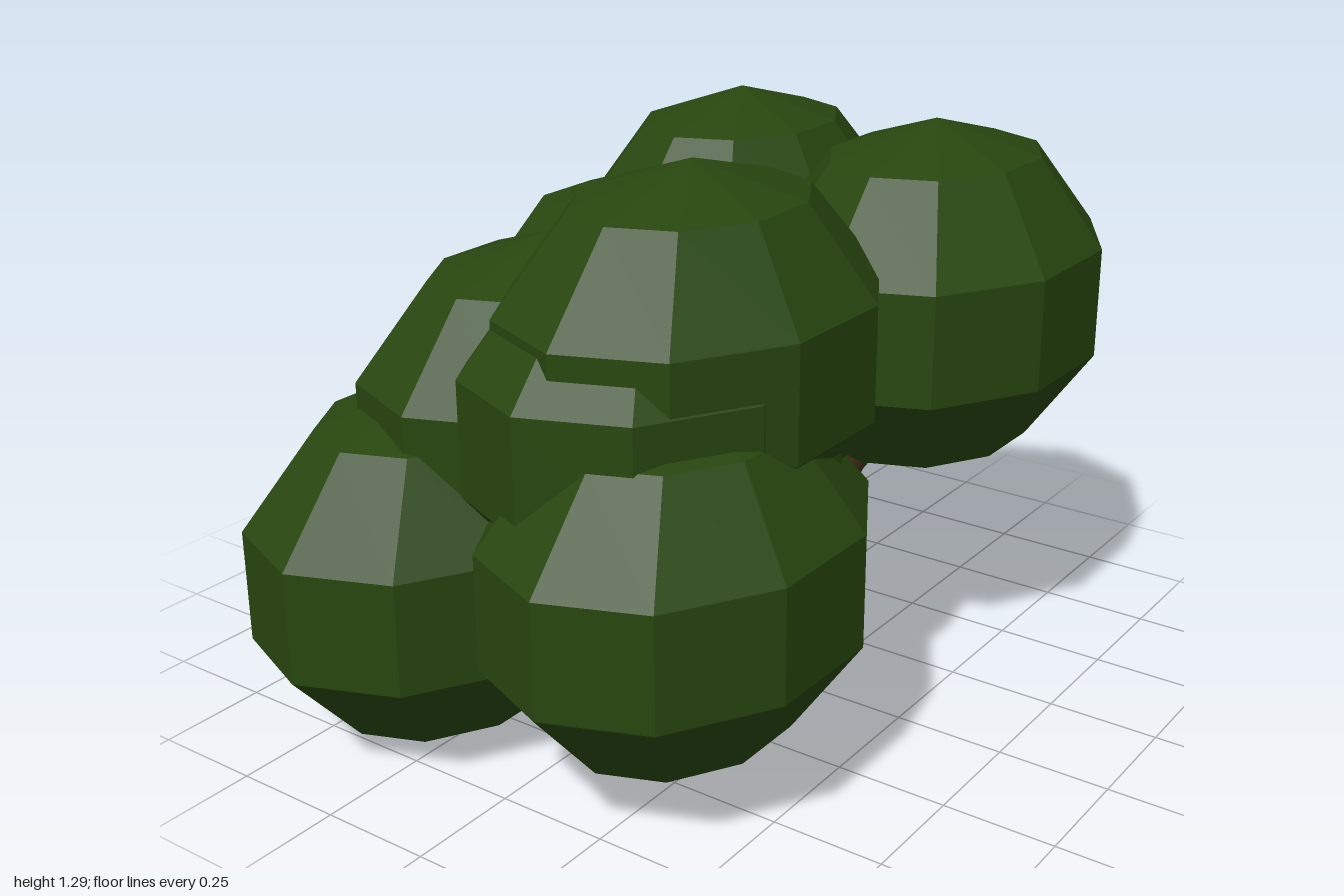
import * as THREE from 'three';

export function createModel() {
  const model = new THREE.Group();
  model.name = 'bush';

  const leafGreen = new THREE.MeshStandardMaterial({ color: 0x28460f, flatShading: true });
  leafGreen.name = 'leaf green';
  const barkBrown = new THREE.MeshStandardMaterial({ color: 0x3a2814 });
  barkBrown.name = 'bark brown';

  // One faceted foliage clump, wider than it is tall or deep
  const clump = new THREE.SphereGeometry(1, 10, 5).scale(0.478, 0.3975, 0.383);

  // Each clump centre, with the foot of the stem that carries it
  const parts = [
    { name: 'lowBackRight', centre: [-0.545, 0.4, -0.33], foot: [-0.07, 0.2, -0.15] },
    { name: 'lowFrontRight', centre: [-0.49, 0.49, 0.26], foot: [-0.07, 0.2, 0.05] },
    { name: 'highFrontRight', centre: [-0.31, 0.89, 0.165], foot: [0.02, 0.21, 0.03] },
    { name: 'highFrontLeft', centre: [0.372, 0.867, 0.33], foot: [0.3, 0.21, 0.1] },
    { name: 'highBackLeft', centre: [0.545, 0.835, -0.305], foot: [0.36, 0.21, -0.08] },
    { name: 'lowLeft', centre: [0.5, 0.587, -0.185], foot: [0.36, 0.21, -0.17] },
    { name: 'backMiddle', centre: [0.145, 0.705, -0.32], foot: [0.2, 0.21, -0.12] },
    { name: 'midBackRight', centre: [-0.31, 0.68, -0.215], foot: [0, 0.21, -0.1] },
    { name: 'midRight', centre: [-0.375, 0.78, 0.13], foot: [-0.02, 0.21, 0.01] },
  ];

  const up = new THREE.Vector3(0, 1, 0);
  for (const { name, centre, foot } of parts) {
    const foliage = new THREE.Mesh(clump, leafGreen);
    foliage.name = name + 'Foliage';
    foliage.position.set(...centre);
    model.add(foliage);

    // Straight stem from the foot to the middle of the clump
    const start = new THREE.Vector3(...foot);
    const along = new THREE.Vector3(...centre).sub(start);
    const stem = new THREE.Mesh(new THREE.CylinderGeometry(0.025, 0.025, along.length(), 8), barkBrown);
    stem.name = name + 'Stem';
    stem.position.copy(start).addScaledVector(along, 0.5);
    stem.quaternion.setFromUnitVectors(up, along.normalize());
    model.add(stem);
  }
  return model;
}
